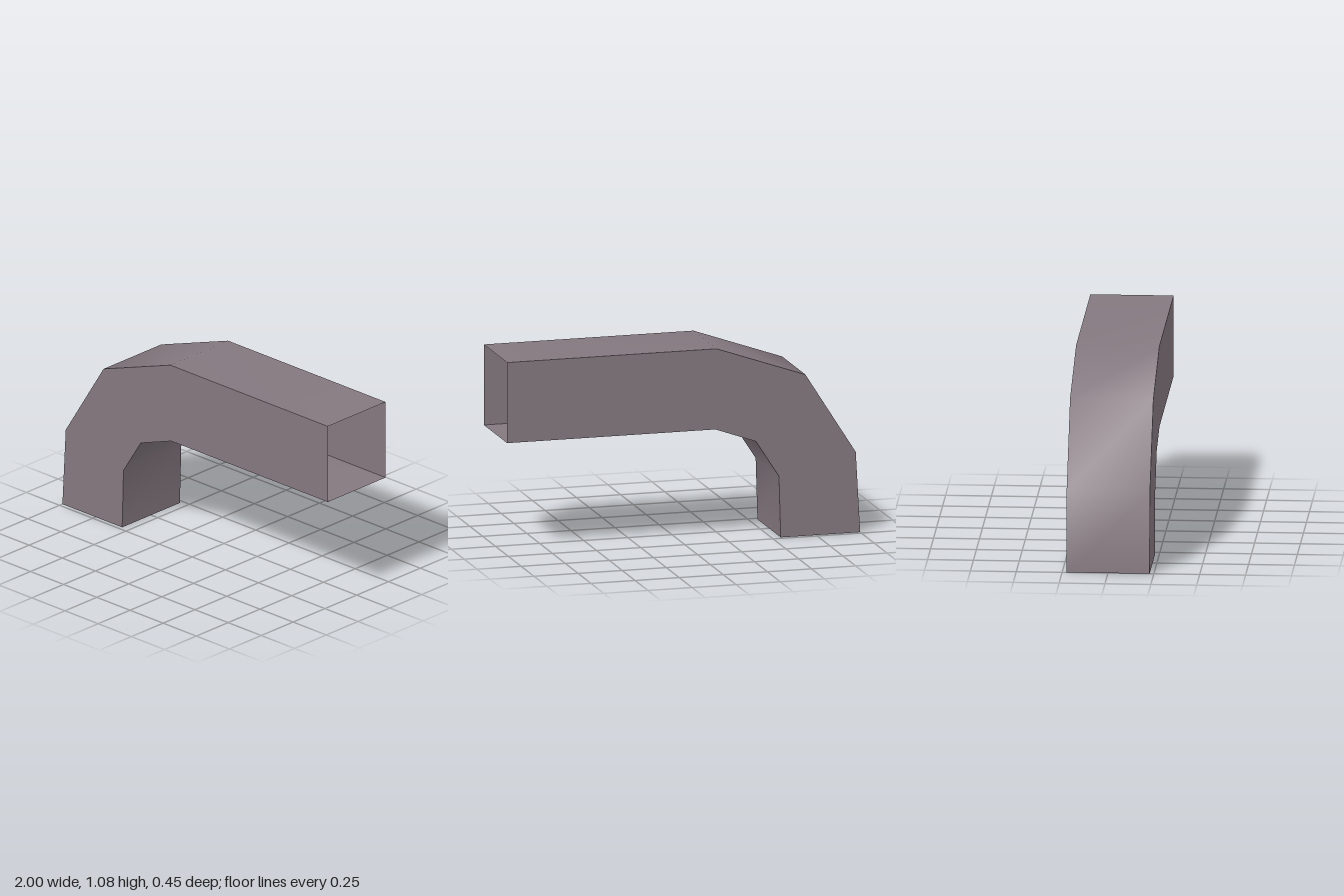
import * as THREE from 'three';

// Outer and inner edge of the bend in the xy plane, from the foot to the far end
const OUTER = [[-1, 0], [-0.975, 0.45], [-0.69, 0.9], [-0.187, 1.077], [1, 1.077]];
const INNER = [[-0.55, 0], [-0.54, 0.342], [-0.41, 0.545], [-0.18, 0.627], [1, 0.627]];
const HALF = 0.227;

// One wall of the duct: a strip between two edges, smooth along its length
function wall(name, edgeA, zA, edgeB, zB, material) {
  const positions = [], index = [];
  edgeA.forEach(([x, y], i) => {
    positions.push(x, y, zA, edgeB[i][0], edgeB[i][1], zB);
    if (i === 0) return;
    const a = 2 * i - 2, b = a + 1, d = a + 2, c = a + 3;
    index.push(a, d, b, b, d, c);
  });
  const geometry = new THREE.BufferGeometry();
  geometry.setAttribute('position', new THREE.Float32BufferAttribute(positions, 3));
  geometry.setIndex(index);
  geometry.computeVertexNormals();
  const mesh = new THREE.Mesh(geometry, material);
  mesh.name = name;
  return mesh;
}

export function createModel() {
  const material = new THREE.MeshStandardMaterial({ color: 0x84787f, side: THREE.DoubleSide });
  material.name = 'mauve grey';

  // Square duct with a bend, open at both ends
  const duct = new THREE.Group();
  duct.name = 'bentDuct';
  duct.add(
    wall('outerWall', OUTER, HALF, OUTER, -HALF, material),
    wall('backWall', OUTER, -HALF, INNER, -HALF, material),
    wall('innerWall', INNER, -HALF, INNER, HALF, material),
    wall('frontWall', INNER, HALF, OUTER, HALF, material),
  );
  return duct;
}
